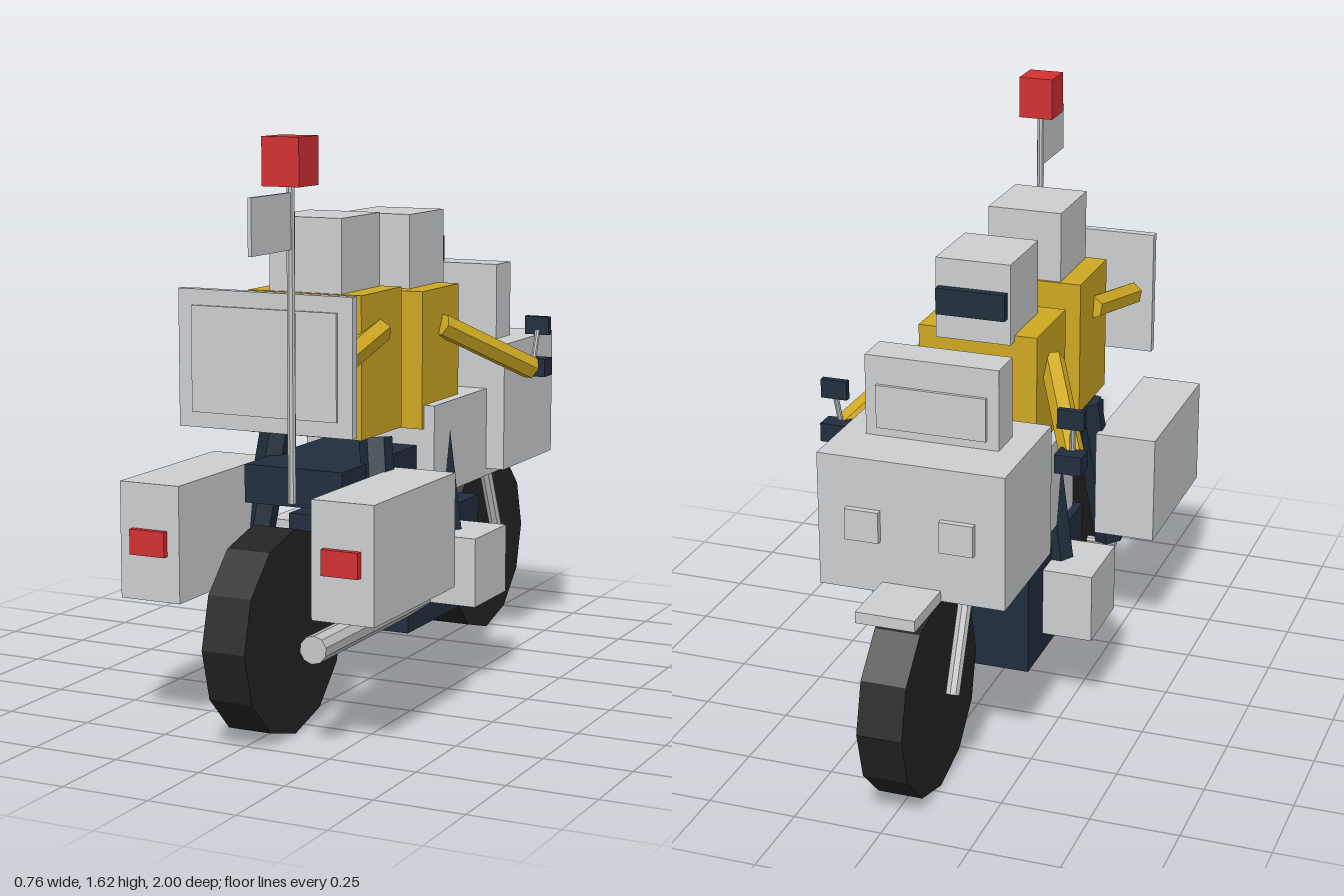
import * as THREE from 'three';

const material = (name, color) => {
  const m = new THREE.MeshStandardMaterial({ color, flatShading: true });
  m.name = name;
  return m;
};

export function createModel() {
  const white = material('light grey', 0xcdcfd0);
  const metal = material('metal grey', 0xc4c5c6);
  const navy = material('navy', 0x212e3e);
  const yellow = material('yellow', 0xcfa922);
  const red = material('red', 0xd33032);
  const black = material('tyre black', 0x232323);

  const model = new THREE.Group();
  model.name = 'motorcycleWithRiders';

  const add = (name, geometry, mat) => {
    const mesh = new THREE.Mesh(geometry, mat);
    mesh.name = name;
    model.add(mesh);
    return mesh;
  };
  // Box given by its ranges on each axis
  const box = (name, mat, [x0, x1], [y0, y1], [z0, z1]) => {
    const mesh = add(name, new THREE.BoxGeometry(Math.abs(x1 - x0), y1 - y0, z1 - z0), mat);
    mesh.position.set((x0 + x1) / 2, (y0 + y1) / 2, (z0 + z1) / 2);
    return mesh;
  };
  // Cylinder between two points
  const rod = (name, mat, a, b, r, sides = 8, turn = 0) => {
    const from = new THREE.Vector3(...a), to = new THREE.Vector3(...b);
    const dir = to.clone().sub(from);
    const geo = new THREE.CylinderGeometry(r, r, dir.length(), sides).rotateY(turn);
    const mesh = add(name, geo, mat);
    mesh.position.copy(from).add(to).multiplyScalar(0.5);
    mesh.quaternion.setFromUnitVectors(new THREE.Vector3(0, 1, 0), dir.normalize());
    return mesh;
  };

  // Wheels
  for (const [name, z] of [['rearWheel', 0.585], ['frontWheel', -0.717]]) {
    const geo = new THREE.CylinderGeometry(0.283, 0.283, 0.127, 12).rotateZ(Math.PI / 2);
    add(name, geo, black).position.set(0, 0.283, z);
  }

  // Engine, seat, tank and fairing
  box('engine', navy, [-0.19, 0.19], [0.19, 0.505], [-0.354, 0.142]);
  box('seat', navy, [-0.15, 0.15], [0.6, 0.707], [0, 0.475]);
  box('tank', white, [-0.205, 0.205], [0.56, 0.825], [-0.525, 0]);
  box('fairing', white, [-0.262, 0.262], [0.582, 0.96], [-0.755, -0.375]);
  box('windscreen', white, [-0.188, 0.188], [0.96, 1.186], [-0.592, -0.485]);
  box('windscreenPanel', white, [-0.155, 0.155], [0.985, 1.106], [-0.602, -0.592]);
  box('frontFender', white, [-0.083, 0.083], [0.58, 0.612], [-0.943, -0.525]);

  // Backrest panel behind the passenger
  box('backrest', white, [-0.26, 0.26], [0.83, 1.203], [0.605, 0.633]);
  box('backrestPanel', white, [-0.217, 0.217], [0.872, 1.16], [0.633, 0.641]);

  // Riders: torso, head
  box('driverTorso', yellow, [-0.173, 0.173], [0.757, 1.152], [-0.238, 0.014]);
  box('driverHead', white, [-0.108, 0.108], [1.135, 1.365], [-0.272, -0.038]);
  box('driverVisor', navy, [-0.1, 0.1], [1.21, 1.285], [-0.297, -0.272]);
  box('passengerTorso', yellow, [-0.173, 0.173], [0.785, 1.18], [0.152, 0.405]);
  box('passengerHead', white, [-0.11, 0.11], [1.18, 1.385], [0.16, 0.398]);

  // Mirrored parts
  for (const s of [-1, 1]) {
    const side = s > 0 ? 'left' : 'right';
    box(side + 'Saddlebag', white, [s * 0.198, s * 0.38], [0.367, 0.688], [0.243, 0.75]);
    box(side + 'TailLight', red, [s * 0.235, s * 0.342], [0.493, 0.563], [0.75, 0.768]);
    box(side + 'CrashBox', white, [s * 0.17, s * 0.335], [0.25, 0.45], [-0.225, 0]);
    box(side + 'Headlight', white, [s * 0.085, s * 0.18], [0.73, 0.818], [-0.773, -0.755]);
    rod(side + 'Fork', metal, [s * 0.1, 0.62, -0.575], [s * 0.1, 0.29, -0.72], 0.02);

    rod(side + 'DriverLeg', navy, [s * 0.155, 0.77, -0.11], [s * 0.215, 0.31, -0.11], 0.046, 6, Math.PI / 6);
    rod(side + 'PassengerLeg', navy, [s * 0.155, 0.775, 0.28], [s * 0.215, 0.31, 0.345], 0.046, 6, Math.PI / 6);
    rod(side + 'FootPeg', metal, [s * 0.145, 0.293, 0.345], [s * 0.235, 0.293, 0.345], 0.012);
    rod(side + 'DriverArm', yellow, [s * 0.175, 1.045, -0.11], [s * 0.333, 0.89, -0.41], 0.035, 6);
    rod(side + 'PassengerArm', yellow, [s * 0.168, 1.07, 0.28], [s * 0.2, 1.018, 0.585], 0.035, 6);

    box(side + 'Grip', navy, [s * 0.3, s * 0.376], [0.865, 0.918], [-0.47, -0.412]);
    rod(side + 'MirrorStem', metal, [s * 0.335, 0.9, -0.418], [s * 0.342, 1.0, -0.44], 0.008);
    box(side + 'Mirror', navy, [s * 0.302, s * 0.378], [0.988, 1.042], [-0.454, -0.435]);
  }

  // Exhaust pipe on one side
  rod('exhaust', metal, [0.155, 0.263, -0.07], [0.212, 0.293, 0.768], 0.038, 10);

  // Mast with warning lamp and flag
  rod('mast', metal, [0.162, 0.68, 0.785], [0.162, 1.5, 0.785], 0.011);
  box('warningLamp', red, [0.108, 0.214], [1.497, 1.622], [0.732, 0.838]);
  box('flag', white, [0.157, 0.167], [1.335, 1.48], [0.785, 1]);

  return model;
}
